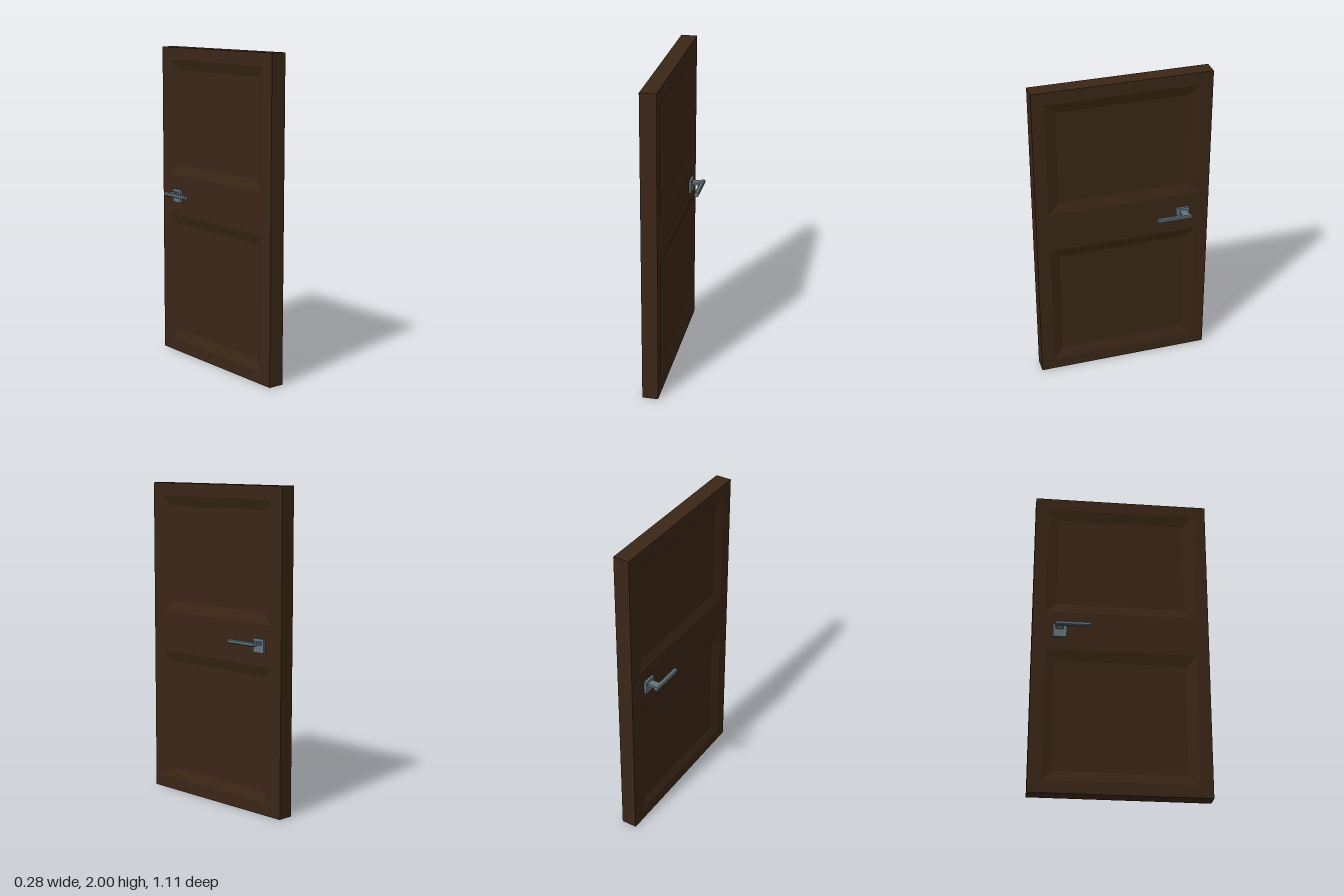
import * as THREE from 'three';

const HALF_W = 0.555, HEIGHT = 2, HALF_T = 0.05, RECESS = 0.02, BEVEL = 0.065;
const PANEL_HALF_W = 0.473;
const PANELS = { lower: [0.077, 0.92], upper: [1.18, 1.92] };

const wood = new THREE.MeshStandardMaterial({ color: 0x3a2616 });
const metal = new THREE.MeshStandardMaterial({ color: 0x64727a });

function addMesh(parent, name, geometry, material, x = 0, y = 0, z = 0) {
  const mesh = new THREE.Mesh(geometry, material);
  mesh.name = name;
  mesh.position.set(x, y, z);
  parent.add(mesh);
  return mesh;
}

// Counter-clockwise rectangle corners at depth z
const rect = (hw, y0, y1, z) => [[-hw, y0, z], [hw, y0, z], [hw, y1, z], [-hw, y1, z]];

// Flat-sided band between two rectangles, optionally closed by the second one
function loftRects(a, b, cap) {
  const pos = [];
  const quad = (p, q, r, s) => pos.push(...p, ...q, ...r, ...p, ...r, ...s);
  for (let i = 0; i < 4; i++) {
    const j = (i + 1) % 4;
    quad(a[i], a[j], b[j], b[i]);
  }
  if (cap) quad(...b);
  const g = new THREE.BufferGeometry();
  g.setAttribute('position', new THREE.Float32BufferAttribute(pos, 3));
  g.computeVertexNormals();
  return g;
}

const outline = (Type, corners) => new Type(corners.map(([x, y]) => new THREE.Vector2(x, y)));

// One door face: flat frame with two sunken, bevelled panels
function doorFace() {
  const face = new THREE.Group();
  const frame = outline(THREE.Shape, rect(HALF_W, 0, HEIGHT, 0));
  for (const [name, [y0, y1]] of Object.entries(PANELS)) {
    const rim = rect(PANEL_HALF_W, y0, y1, HALF_T);
    const floor = rect(PANEL_HALF_W - BEVEL, y0 + BEVEL, y1 - BEVEL, HALF_T - RECESS);
    frame.holes.push(outline(THREE.Path, rim));
    addMesh(face, name + 'Panel', loftRects(rim, floor, true), wood);
  }
  addMesh(face, 'frame', new THREE.ShapeGeometry(frame), wood, 0, 0, HALF_T);
  return face;
}

// Chamfered bar running along z
function leverGeometry(w, h, length, c) {
  const x = w / 2, y = h / 2;
  const profile = outline(THREE.Shape, [
    [x - c, -y], [x, -y + c], [x, y - c], [x - c, y],
    [-x + c, y], [-x, y - c], [-x, -y + c], [-x + c, -y],
  ]);
  return new THREE.ExtrudeGeometry(profile, { depth: length, bevelEnabled: false });
}

// Handle on side s (+1 or -1); both levers point toward +z
function doorHandle(s) {
  const handle = new THREE.Group();
  addMesh(handle, 'rosette', new THREE.BoxGeometry(0.016, 0.086, 0.086), metal, s * 0.057, 1.048, -0.383);
  addMesh(handle, 'neck', new THREE.BoxGeometry(0.062, 0.018, 0.047), metal, s * 0.092, 1.065, -0.386);
  addMesh(handle, 'lever', leverGeometry(0.028, 0.026, 0.221, 0.006), metal, s * 0.128, 1.065, -0.418);
  return handle;
}

export function createModel() {
  const model = new THREE.Group();
  model.name = 'door';

  // Outer edges of the slab
  const edges = loftRects(rect(HALF_W, 0, HEIGHT, -HALF_T), rect(HALF_W, 0, HEIGHT, HALF_T), false);
  addMesh(model, 'doorEdges', edges, wood).rotation.y = Math.PI / 2;

  for (const [side, s] of [['left', 1], ['right', -1]]) {
    const face = doorFace();
    face.name = side + 'Face';
    face.rotation.y = s * Math.PI / 2;
    const handle = doorHandle(s);
    handle.name = side + 'Handle';
    model.add(face, handle);
  }
  return model;
}
